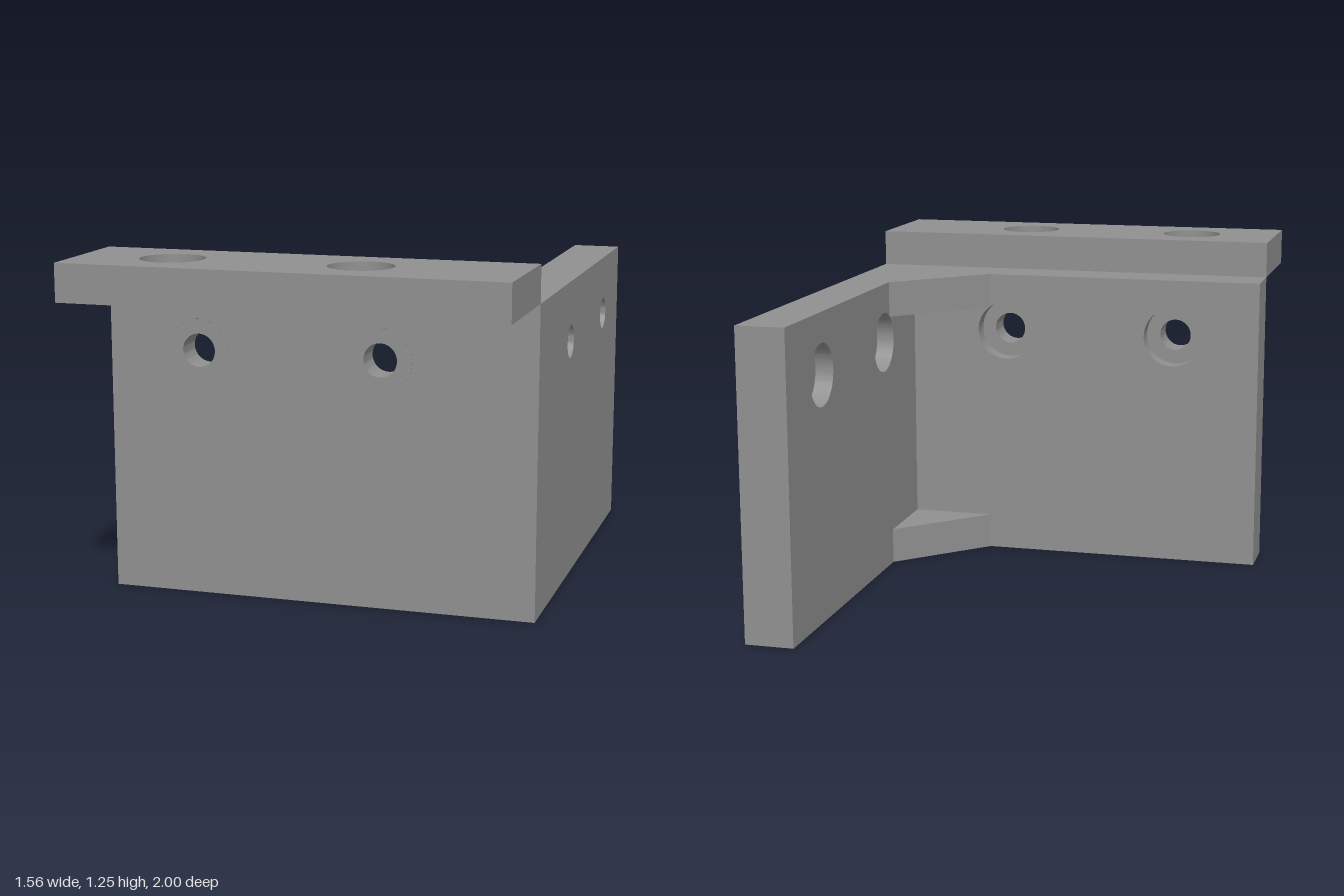
import * as THREE from 'three';
import { toCreasedNormals } from 'three/addons/utils/BufferGeometryUtils.js';

const HOLE_R = 0.06, BORE_R = 0.113, BORE_DEPTH = 0.067, SEGMENTS = 48;

export function createModel() {
  const grey = new THREE.MeshStandardMaterial({ color: 0x909090 });
  const model = new THREE.Group();
  model.name = 'cornerBracket';

  const add = (parent, name, geometry) => {
    const mesh = new THREE.Mesh(geometry, grey);
    mesh.name = name;
    parent.add(mesh);
    return mesh;
  };

  // Flat plate in local x/y with counterbored holes opening towards local +z
  const plate = (name, x0, x1, y0, y1, thickness, holes) => {
    const group = new THREE.Group();
    group.name = name;
    const shape = new THREE.Shape([
      new THREE.Vector2(x0, y0), new THREE.Vector2(x1, y0),
      new THREE.Vector2(x1, y1), new THREE.Vector2(x0, y1),
    ]);
    for (const [x, y] of holes) {
      shape.holes.push(new THREE.Path().absarc(x, y, BORE_R, 0, Math.PI * 2, true));
    }
    const slab = new THREE.ExtrudeGeometry(shape, {
      depth: thickness, bevelEnabled: false, curveSegments: SEGMENTS,
    });
    add(group, name + 'Slab', toCreasedNormals(slab, 0.5));

    // Stepped ring that narrows each bore to the screw hole
    const floor = thickness - BORE_DEPTH;
    const profile = [[BORE_R, floor], [HOLE_R, floor], [HOLE_R, 0], [BORE_R, 0]]
      .map(([r, h]) => new THREE.Vector2(r, h));
    for (const [x, y] of holes) {
      const ring = new THREE.LatheGeometry(profile, SEGMENTS).rotateX(Math.PI / 2);
      add(group, name + 'HoleStep', toCreasedNormals(ring, 0.5)).position.set(x, y, 0);
    }
    model.add(group);
    return group;
  };

  // Front wall, bores opening to the back
  const front = plate('frontWall', -0.778, 0.778, 0, 1.111, 0.178, [[0.444, 0.889], [-0.222, 0.889]]);
  front.rotation.y = Math.PI;
  front.position.z = 0.556;

  // Side wall, bores opening to the inside
  const side = plate('sideWall', -1, 0.378, 0, 1.111, 0.178, [[0, 0.889], [-0.667, 0.889]]);
  side.rotation.y = -Math.PI / 2;
  side.position.x = 0.778;

  // Top flange, bores opening upwards
  const flange = plate('topFlange', -0.778, 0.778, -1, -0.556, 0.134, [[-0.444, -0.778], [0.222, -0.778]]);
  flange.rotation.x = -Math.PI / 2;
  flange.position.y = 1.111;

  // Triangular gussets in the inner corner, top and bottom
  const triangle = new THREE.Shape([
    new THREE.Vector2(0.6, -0.378), new THREE.Vector2(0.6, -0.067), new THREE.Vector2(0.289, -0.378),
  ]);
  for (const [name, y] of [['lowerGusset', 0], ['upperGusset', 0.978]]) {
    const gusset = new THREE.ExtrudeGeometry(triangle, { depth: 0.133, bevelEnabled: false });
    add(model, name, gusset.rotateX(-Math.PI / 2)).position.y = y;
  }

  return model;
}
